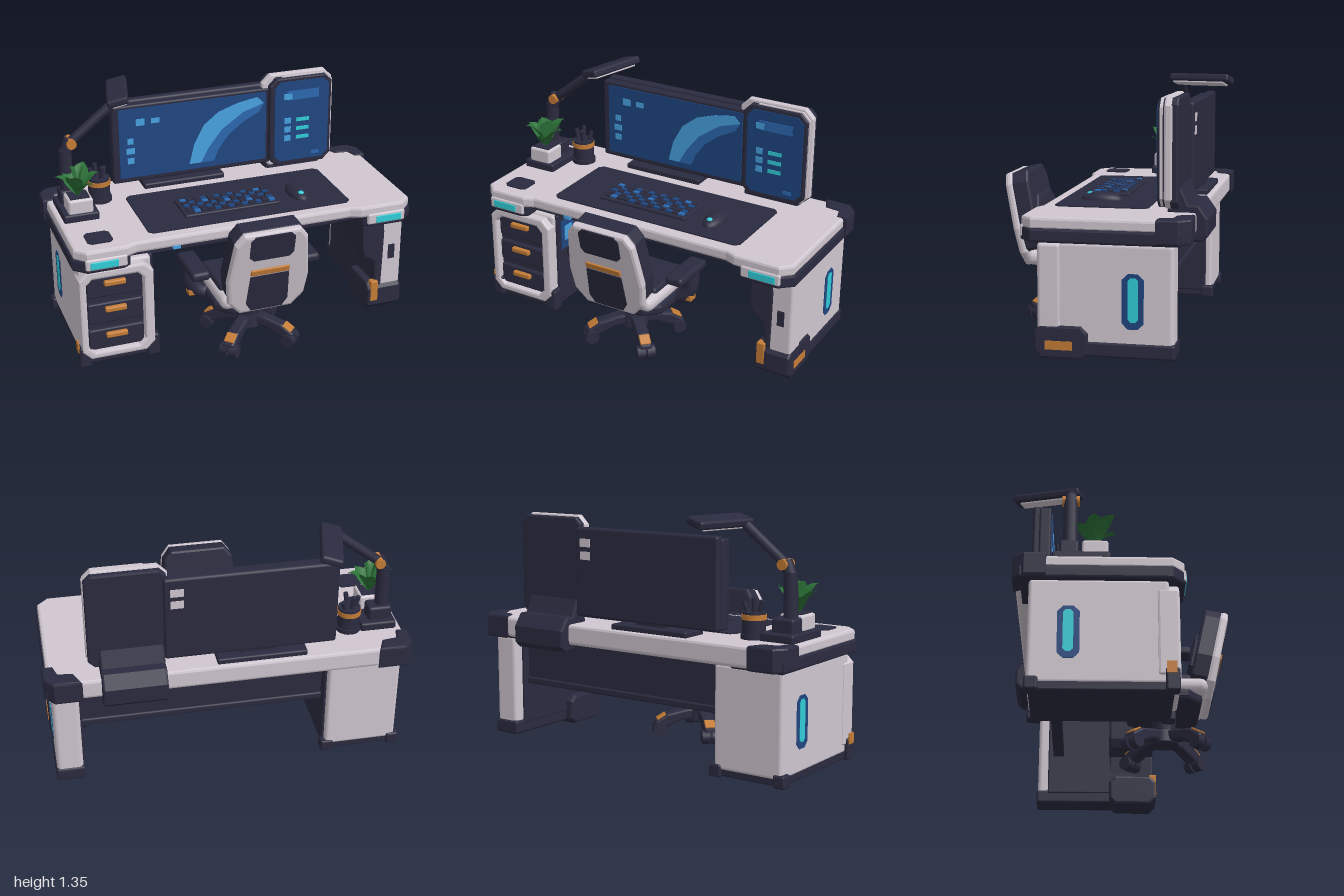
import * as THREE from 'three';
import { RoundedBoxGeometry } from 'three/addons/geometries/RoundedBoxGeometry.js';

const mat = (name, color, side = THREE.FrontSide) => {
  const m = new THREE.MeshStandardMaterial({ color, side });
  m.name = name;
  return m;
};

export function createModel() {
  const dark = mat('dark navy', 0x2b2b40), white = mat('warm white', 0xd0c7d0);
  const orange = mat('orange', 0xc47c36), navy = mat('screen blue', 0x1f4680);
  const mid = mat('mid blue', 0x2c69b0), blue = mat('light blue', 0x48a2e2), cyan = mat('cyan glow', 0x30ced8);
  const green = mat('leaf green', 0x2c7238, THREE.DoubleSide);
  const root = new THREE.Group();

  const part = (name, parent = root) => {
    const g = new THREE.Group();
    g.name = name;
    parent.add(g);
    return g;
  };
  const add = (g, name, m, geo, x = 0, y = 0, z = 0) => {
    const mesh = new THREE.Mesh(geo, m);
    mesh.name = name;
    mesh.position.set(x, y, z);
    g.add(mesh);
    return mesh;
  };
  // box given by its limits, with softened edges when r > 0
  const box = (g, name, m, [x0, x1], [y0, y1], [z0, z1], r = 0) => {
    const w = x1 - x0, h = y1 - y0, d = z1 - z0;
    const geo = r ? new RoundedBoxGeometry(w, h, d, 2, Math.min(r, w / 2.1, h / 2.1, d / 2.1)) : new THREE.BoxGeometry(w, h, d);
    return add(g, name, m, geo, (x0 + x1) / 2, (y0 + y1) / 2, (z0 + z1) / 2);
  };
  // outline extruded along z (xy), x (zy) or y (xz)
  const prism = (g, name, m, pts, a, b, axis = 'z', bevel = 0, hole = null) => {
    const shape = new THREE.Shape(pts.map(p => new THREE.Vector2(...p)));
    if (hole) shape.holes.push(new THREE.Path(hole.map(p => new THREE.Vector2(...p))));
    const geo = new THREE.ExtrudeGeometry(shape, { depth: b - a - 2 * bevel, bevelEnabled: bevel > 0,
      bevelSize: bevel, bevelThickness: bevel, bevelOffset: -bevel, bevelSegments: 2 });
    geo.translate(0, 0, (axis === 'z' ? a : -b) + bevel);
    if (axis === 'x') geo.rotateY(-Math.PI / 2);
    if (axis === 'y') geo.rotateX(Math.PI / 2);
    return add(g, name, m, geo);
  };
  const octagon = (x0, x1, y0, y1, c) => [[x0 + c, y0], [x1 - c, y0], [x1, y0 + c], [x1, y1 - c],
    [x1 - c, y1], [x0 + c, y1], [x0, y1 - c], [x0, y0 + c]];
  const rod = (g, name, m, p, q, r0, r1 = r0, sides = 12) => {
    const a = new THREE.Vector3(...p), b = new THREE.Vector3(...q), d = b.clone().sub(a);
    const mesh = add(g, name, m, new THREE.CylinderGeometry(r1, r0, d.length(), sides));
    mesh.position.copy(a.add(b).multiplyScalar(0.5));
    mesh.quaternion.setFromUnitVectors(new THREE.Vector3(0, 1, 0), d.normalize());
    return mesh;
  };

  // Desk: top, end bands, back corner guards and front lights
  const desk = part('desk');
  prism(desk, 'deskTop', white, [[-0.92, 0.3], [-0.7, 0.3], [-0.64, 0.275], [0.6, 0.275], [0.66, 0.3], [0.92, 0.3],
    [0.98, 0.24], [0.98, -0.5], [0.94, -0.55], [-0.94, -0.55], [-0.98, -0.5], [-0.98, 0.24]], 0.655, 0.72, 'y', 0.015);
  box(desk, 'underPlate', dark, [-0.7, 0.7], [0.635, 0.66], [-0.42, 0.25]);
  box(desk, 'edgeLight', blue, [-0.44, -0.395], [0.64, 0.665], [0.25, 0.275], 0.005);
  box(desk, 'rearBeam', white, [-0.82, 0.82], [0.605, 0.7], [-0.55, -0.42], 0.025);
  for (const s of [-1, 1]) {
    const span = (a, b) => (s < 0 ? [-b, -a] : [a, b]);
    prism(desk, 'endBand', dark, [[0.68, 0.28], [0.72, 0.305], [0.92, 0.305], [0.99, 0.24], [0.99, -0.52], [0.68, -0.52]]
      .map(([x, z]) => [x * s, z]), 0.593, 0.665, 'y', 0.012);
    prism(desk, 'cornerGuard', dark, [[0.8, -0.56], [0.95, -0.56], [1, -0.5], [1, -0.39], [0.94, -0.39], [0.92, -0.46], [0.84, -0.47]]
      .map(([x, z]) => [x * s, z]), 0.6, 0.73, 'y', 0.012);
    box(desk, 'lightHousing', white, span(0.7, 0.93), [0.608, 0.675], [0.28, 0.308], 0.012);
    box(desk, 'frontLight', cyan, span(0.75, 0.905), [0.617, 0.66], [0.3, 0.312], 0.005);
  }
  box(desk, 'modestyPanel', dark, [-0.55, 0.84], [0.31, 0.65], [-0.38, -0.34], 0.01);
  box(desk, 'panelRail', dark, [-0.55, 0.84], [0.31, 0.35], [-0.39, -0.325], 0.01);
  prism(desk, 'deskMat', dark, octagon(-0.55, 0.635, -0.29, 0.205, 0.025), 0.715, 0.727, 'y');
  prism(desk, 'coaster', dark, octagon(-0.89, -0.75, 0.09, 0.22, 0.02), 0.715, 0.727, 'y');

  // Tall light strip on each outer side
  const sideLight = (g, s, x) => {
    prism(g, 'sideLightFrame', navy, octagon(-0.33, -0.22, 0.17, 0.45, 0.03), x - 0.003, x + 0.003, 'x');
    prism(g, 'sideLight', cyan, octagon(-0.302, -0.25, 0.205, 0.43, 0.015), x + s * 0.003 - 0.002, x + s * 0.003 + 0.002, 'x');
  };

  // Drawer cabinet
  const cab = part('drawerCabinet');
  box(cab, 'cabinetBody', white, [-0.958, -0.55], [0.04, 0.6], [-0.475, 0.22], 0.02);
  prism(cab, 'frontFrame', white, octagon(-0.965, -0.55, 0.045, 0.585, 0.05), 0.16, 0.27, 'z', 0.012,
    octagon(-0.925, -0.605, 0.085, 0.535, 0.035));
  box(cab, 'innerLining', dark, [-0.56, -0.535], [0.04, 0.6], [-0.44, 0.2], 0.01);
  box(cab, 'base', dark, [-0.955, -0.545], [0.005, 0.06], [-0.465, 0.24], 0.01);
  for (const y of [0.177, 0.337, 0.497]) {
    box(cab, 'drawer', dark, [-0.92, -0.61], [y - 0.088, y + 0.035], [0.19, 0.248], 0.01);
    box(cab, 'drawerHandle', orange, [-0.825, -0.705], [y - 0.015, y + 0.015], [0.24, 0.272], 0.008);
  }
  box(cab, 'drawerBack', dark, [-0.93, -0.6], [0.08, 0.54], [0.18, 0.225]);
  for (const [x, z, h] of [[-0.945, 0.23, 0.12], [-0.56, 0.23, 0.13], [-0.945, -0.45, 0.07], [-0.56, -0.45, 0.07]])
    box(cab, 'cornerShoe', dark, [x - 0.035, x + 0.035], [0, h], [z - 0.035, z + 0.035], 0.012);
  box(cab, 'shoeMark', orange, [-0.984, -0.976], [0.09, 0.15], [0.2, 0.25]);
  box(cab, 'innerPanel', navy, [-0.537, -0.53], [0.37, 0.55], [0.04, 0.17]);
  box(cab, 'innerPanelGlow', blue, [-0.533, -0.526], [0.42, 0.51], [0.07, 0.14]);
  box(cab, 'statusLight', blue, [-0.537, -0.53], [0.46, 0.5], [-0.1, -0.06]);
  sideLight(cab, -1, -0.958);

  // Right leg panel with brace and shoe
  const leg = part('rightLeg');
  box(leg, 'legPanel', white, [0.82, 0.965], [0.06, 0.6], [-0.48, 0.2], 0.025);
  box(leg, 'frontRib', white, [0.835, 0.972], [0.14, 0.59], [0.09, 0.212], 0.02);
  box(leg, 'legLining', dark, [0.805, 0.83], [0.08, 0.6], [-0.42, 0.12], 0.008);
  prism(leg, 'brace', dark, [[0.71, 0.64], [0.72, 0.4], [0.74, 0.35], [0.8, 0.31], [0.81, 0.1], [0.85, 0.1], [0.86, 0.5], [0.84, 0.64]],
    -0.05, 0.215, 'z', 0.012);
  box(leg, 'slotFrame', dark, [0.885, 0.925], [0.32, 0.41], [0.208, 0.217]);
  box(leg, 'bottomRail', dark, [0.81, 0.972], [0.02, 0.1], [-0.488, 0], 0.015);
  prism(leg, 'shoe', dark, octagon(-0.05, 0.23, 0, 0.175, 0.035), 0.76, 0.975, 'x', 0.015);
  box(leg, 'shoeSideMark', orange, [0.971, 0.979], [0.05, 0.095], [0.03, 0.17]);
  box(leg, 'shoeFrontMark', orange, [0.778, 0.825], [0.06, 0.19], [0.19, 0.234], 0.006);
  sideLight(leg, 1, 0.965);

  // Main monitor
  const main = part('mainMonitor');
  box(main, 'casing', dark, [-0.585, 0.375], [0.765, 1.235], [-0.45, -0.385], 0.012);
  box(main, 'backShell', dark, [-0.575, 0.355], [0.76, 1.25], [-0.485, -0.43], 0.015);
  box(main, 'screen', navy, [-0.545, 0.345], [0.795, 1.215], [-0.387, -0.38]);
  box(main, 'standBase', dark, [-0.41, 0.08], [0.715, 0.75], [-0.525, -0.36], 0.01);
  box(main, 'standNeck', dark, [-0.25, -0.05], [0.73, 0.8], [-0.48, -0.42], 0.01);
  for (const y of [1.075, 1.145]) box(main, 'rearVent', white, [0.25, 0.32], [y, y + 0.045], [-0.488, -0.482]);
  prism(main, 'screenArc', blue, [[-0.13, 0.83], [-0.1, 0.95], [-0.04, 1.06], [0.05, 1.13], [0.17, 1.17], [0.29, 1.19],
    [0.33, 1.15], [0.2, 1.11], [0.07, 1.02], [-0.01, 0.92], [-0.06, 0.83]], -0.38, -0.376);
  prism(main, 'screenArcShade', mid, [[-0.06, 0.83], [-0.01, 0.92], [0.07, 1.02], [0.2, 1.11], [0.33, 1.15], [0.3, 1.1],
    [0.2, 1.05], [0.11, 0.98], [0.05, 0.9], [0.02, 0.83]], -0.38, -0.376);
  for (const [x, y, w, h] of [[-0.42, 1.13, 0.05, 0.04], [-0.33, 1.13, 0.05, 0.03], [-0.48, 1.02, 0.035, 0.035],
    [-0.48, 0.96, 0.05, 0.035], [-0.48, 0.9, 0.04, 0.035]])
    box(main, 'screenIcon', blue, [x - w / 2, x + w / 2], [y - h / 2, y + h / 2], [-0.38, -0.376]);

  // Side monitor and its desk clamp
  const side = part('sideMonitor');
  prism(side, 'whiteShell', white, octagon(0.325, 0.765, 0.74, 1.31, 0.05), -0.435, -0.392, 'z', 0.01);
  prism(side, 'frame', dark, octagon(0.36, 0.75, 0.745, 1.293, 0.045), -0.4, -0.355, 'z', 0.01);
  prism(side, 'frameTrim', white, octagon(0.4, 0.758, 0.75, 1.298, 0.045), -0.384, -0.37);
  prism(side, 'backShell', dark, octagon(0.335, 0.758, 0.742, 1.3, 0.035), -0.465, -0.42, 'z', 0.01);
  prism(side, 'screen', navy, octagon(0.39, 0.73, 0.775, 1.27, 0.035), -0.357, -0.35);
  const rows = [[0.565, 1.185, 0.2, 0.055, mid], [0.47, 1.18, 0.05, 0.035, blue], [0.47, 1.03, 0.04, 0.035, blue],
    [0.47, 0.975, 0.04, 0.035, blue], [0.47, 0.92, 0.04, 0.035, blue],
    [0.565, 1.03, 0.08, 0.022, cyan], [0.565, 0.975, 0.08, 0.022, cyan], [0.565, 0.92, 0.08, 0.022, cyan], [0.65, 0.81, 0.05, 0.02, mid]];
  rows.forEach(([x, y, w, h, m], i) =>
    box(side, 'screenRow', m, [x - w / 2, x + w / 2], [y - h / 2, y + h / 2], [-0.35, i === 1 ? -0.344 : -0.346]));
  prism(side, 'deskClamp', dark, [[-0.4, 0.72], [-0.42, 0.83], [-0.47, 0.85], [-0.51, 0.76], [-0.56, 0.76], [-0.61, 0.69], [-0.61, 0.6],
    [-0.58, 0.57], [-0.5, 0.57], [-0.47, 0.7]], 0.355, 0.7, 'x', 0.012);

  // Keyboard and mouse
  const keyboard = part('keyboard');
  box(keyboard, 'keyboardBody', dark, [-0.31, 0.25], [0.722, 0.742], [-0.12, 0.1], 0.008);
  for (let r = 0; r < 5; r++) for (let c = 0; c < 13; c++) {
    const x = -0.27 + c * 0.04, z = -0.08 + r * 0.036, k = (r * 7 + c * 5) % 11;
    box(keyboard, 'key', k < 1 ? mid : k < 5 ? navy : dark, [x - 0.016, x + 0.016], [0.738, 0.752], [z - 0.014, z + 0.014]);
  }
  const mouse = part('mouse');
  add(mouse, 'mouseBody', dark, new THREE.SphereGeometry(1, 20, 10, 0, Math.PI * 2, 0, Math.PI / 2), 0.39, 0.725, 0).scale.set(0.058, 0.045, 0.115);
  add(mouse, 'mouseLight', cyan, new THREE.SphereGeometry(0.018, 12, 8), 0.388, 0.757, 0.065).scale.y = 0.6;

  // Desk lamp
  const lamp = part('deskLamp');
  box(lamp, 'lampBase', dark, [-0.95, -0.75], [0.715, 0.765], [-0.365, -0.07], 0.012);
  box(lamp, 'lampFoot', dark, [-0.93, -0.8], [0.75, 0.84], [-0.33, -0.23], 0.015);
  rod(lamp, 'lampPole', dark, [-0.885, 0.76, -0.275], [-0.88, 1.07, -0.275], 0.039, 0.036);
  rod(lamp, 'elbowJoint', orange, [-0.85, 1.11, -0.32], [-0.85, 1.11, -0.23], 0.028);
  rod(lamp, 'elbowLink', dark, [-0.88, 1.05, -0.275], [-0.85, 1.13, -0.275], 0.034);
  rod(lamp, 'lampArm', dark, [-0.85, 1.11, -0.275], [-0.6, 1.305, -0.275], 0.027);
  const head = part('lampHead', lamp);
  head.position.set(-0.54, 1.318, -0.405);
  head.rotation.set(0, -0.24, 0.26);
  box(head, 'headShell', dark, [-0.06, 0.06], [-0.02, 0.025], [-0.185, 0.185], 0.015);
  box(head, 'headDiffuser', white, [-0.045, 0.045], [-0.03, -0.015], [-0.15, 0.165], 0.005);

  // Potted plant: leaves are planes tapered and bent outward
  const plant = part('plant');
  box(plant, 'pot', white, [-0.92, -0.78], [0.755, 0.845], [-0.215, -0.08], 0.015);
  box(plant, 'soil', dark, [-0.905, -0.795], [0.84, 0.85], [-0.2, -0.095]);
  for (let i = 0; i < 8; i++) {
    const outer = i < 6, geo = new THREE.PlaneGeometry(1, 1, 4, 6), p = geo.attributes.position;
    for (let k = 0; k < p.count; k++) {
      const t = p.getY(k) + 0.5, u = p.getX(k) * 2;
      const w = 0.048 * Math.sin(Math.PI * Math.min(1, 0.06 + 0.94 * t ** 1.1));
      const reach = outer ? 0.12 : 0.035, rise = outer ? 0.1 + 0.025 * (i % 3) : 0.17;
      p.setXYZ(k, u * w, rise * Math.sin(t * 1.6), reach * t ** 1.2 + 0.008 - 0.012 * Math.abs(u));
    }
    geo.computeVertexNormals();
    add(plant, 'leaf', green, geo, -0.85, 0.845, -0.15).rotation.y = outer ? i * Math.PI / 3 + 0.5 : i * Math.PI + 1.2;
  }

  // Pen cup
  const cup = part('penCup');
  cup.position.set(-0.69, 0, -0.315);
  rod(cup, 'cupBody', dark, [0, 0.715, 0], [0, 0.86, 0], 0.062, 0.062, 20);
  rod(cup, 'cupBand', orange, [0, 0.82, 0], [0, 0.848, 0], 0.066, 0.066, 20);
  rod(cup, 'cupFoot', dark, [0, 0.715, 0], [0, 0.745, 0], 0.07, 0.07, 20);
  for (const [x, z, h] of [[-0.035, 0, 0.92], [0.01, 0.025, 0.93], [0.03, -0.02, 0.91], [-0.01, -0.02, 0.935]])
    rod(cup, 'pen', dark, [x * 0.5, 0.8, z * 0.5], [x * 1.4, h, z * 1.4], 0.013, 0.013, 8);

  // Chair
  const chair = part('chair');
  chair.position.x = 0.01;
  const back = part('backrest', chair);
  back.position.set(0, 0.33, 0.45);
  back.rotation.x = 0.21;
  prism(back, 'backShell', white, [[-0.15, -0.02], [0.15, -0.02], [0.22, 0.06], [0.235, 0.2], [0.205, 0.45], [0.16, 0.51],
    [-0.16, 0.51], [-0.205, 0.45], [-0.235, 0.2], [-0.22, 0.06]], 0, 0.05, 'z', 0.018);
  prism(back, 'backCushion', dark, [[-0.15, 0.02], [0.15, 0.02], [0.215, 0.08], [0.232, 0.2], [0.203, 0.45], [0.16, 0.507],
    [-0.16, 0.507], [-0.203, 0.45], [-0.232, 0.2], [-0.215, 0.08]], -0.09, 0.015, 'z', 0.015);
  prism(back, 'lumbarPad', dark, octagon(-0.19, 0.19, 0.08, 0.36, 0.06), -0.115, -0.08, 'z', 0.015);
  prism(back, 'upperPanel', dark, octagon(-0.125, 0.125, 0.345, 0.5, 0.025), 0.046, 0.055);
  prism(back, 'lowerPanel', dark, [[-0.09, 0], [0.09, 0], [0.12, 0.05], [0.11, 0.235], [-0.11, 0.235], [-0.12, 0.05]], 0.046, 0.055);
  box(back, 'backStripe', orange, [-0.11, 0.11], [0.245, 0.28], [0.045, 0.06], 0.005);
  box(chair, 'seatShell', white, [-0.24, 0.24], [0.315, 0.4], [0.06, 0.47], 0.04);
  box(chair, 'seatCushion', dark, [-0.22, 0.22], [0.38, 0.425], [0.05, 0.38], 0.02);
  prism(chair, 'seatPan', dark, octagon(-0.25, 0.25, 0.04, 0.44, 0.08), 0.265, 0.33, 'y', 0.02);
  for (const s of [-1, 1]) {
    const path = new THREE.CatmullRomCurve3([[0.18, 0.295, 0.17], [0.27, 0.305, 0.17], [0.315, 0.36, 0.16], [0.32, 0.49, 0.15]]
      .map(([x, y, z]) => new THREE.Vector3(x * s, y, z)));
    add(chair, 'armSupport', dark, new THREE.TubeGeometry(path, 16, 0.042, 10));
    box(chair, 'armrest', dark, [s * 0.322 - 0.053, s * 0.322 + 0.053], [0.468, 0.52], [0.08, 0.37], 0.02);
    box(chair, 'armMark', orange, [s * 0.318 - 0.022, s * 0.318 + 0.022], [0.292, 0.325], [0.14, 0.198], 0.005);
  }
  rod(chair, 'gasPost', dark, [0, 0.12, 0.24], [0, 0.28, 0.24], 0.06, 0.07, 16);
  rod(chair, 'hub', dark, [0, 0.09, 0.24], [0, 0.16, 0.24], 0.08, 0.07, 16);

  // Four-star base, each arm built pointing along +z
  for (let i = 0; i < 4; i++) {
    const star = part('starLeg', chair);
    star.position.z = 0.24;
    star.rotation.y = Math.PI / 4 + i * Math.PI / 2;
    prism(star, 'legArm', dark, [[0.03, 0.095], [0.03, 0.16], [0.1, 0.155], [0.21, 0.13], [0.28, 0.085], [0.285, 0.04], [0.22, 0.045], [0.12, 0.09]],
      -0.036, 0.036, 'x', 0.014);
    const mark = box(star, 'legMark', orange, [-0.03, 0.03], [0.107, 0.117], [0.214, 0.274], 0.004);
    mark.rotation.x = 0.55;
    for (const s of [-1, 1]) rod(star, 'caster', dark, [s * 0.006, 0.041, 0.255], [s * 0.05, 0.041, 0.255], 0.041, 0.038, 14);
  }
  return root;
}
